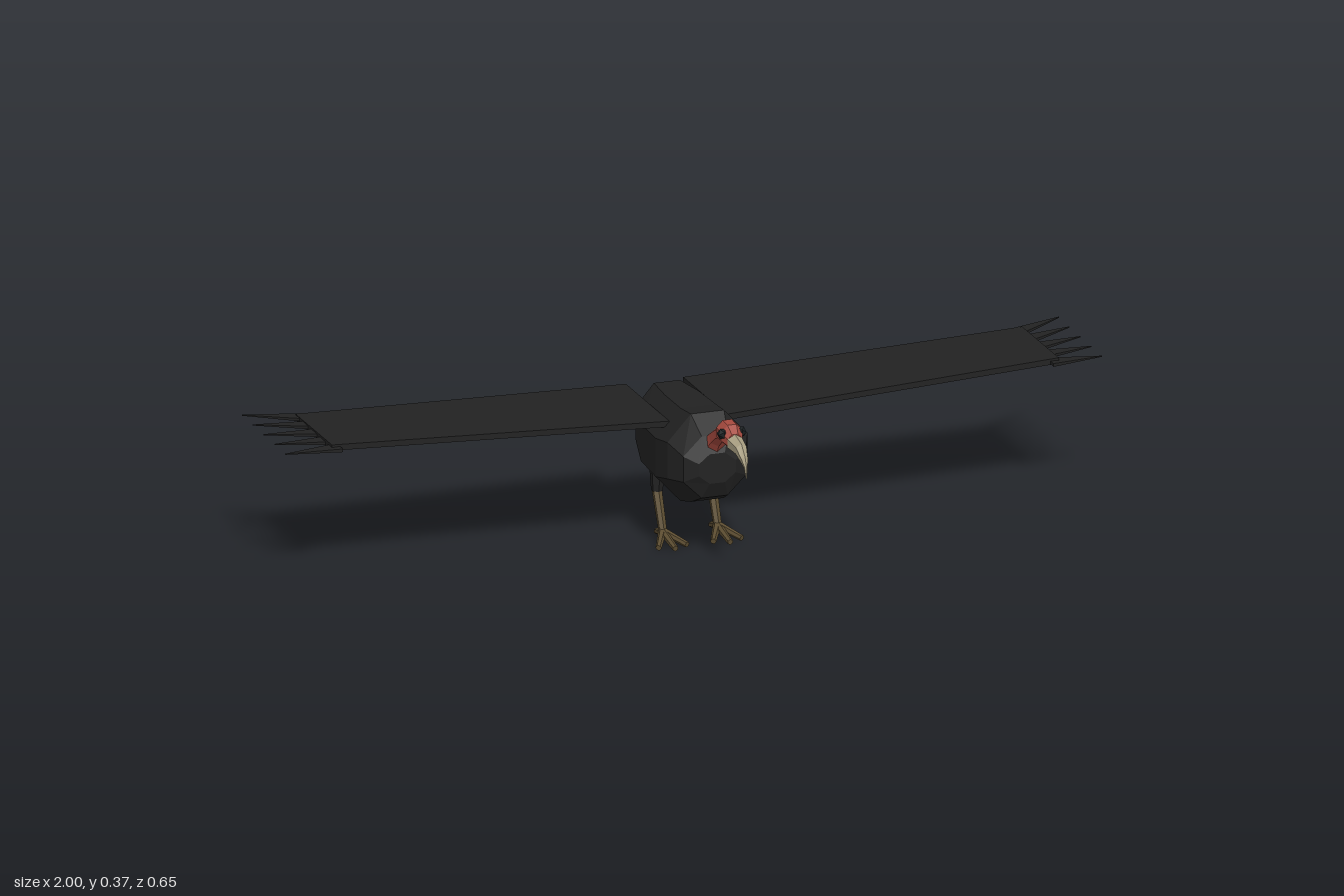
import * as THREE from 'three';

const mat = (name, color, flat = true) => {
  const m = new THREE.MeshStandardMaterial({ color, flatShading: flat });
  m.name = name;
  return m;
};
const lerp = THREE.MathUtils.lerp;

// Skin over elliptical rings, listed front to back: [z, y, halfWidth, halfHeight, lean]
function loft(rings, sides) {
  const pts = rings.map(([z, y, w, h, lean = 0]) => {
    const k = 1 / Math.cos(Math.PI / sides);
    return Array.from({ length: sides }, (_, j) => {
      const a = ((j + 0.5) / sides) * Math.PI * 2;
      const up = Math.sin(a) * h * k;
      return [Math.cos(a) * w * k, y + up * Math.cos(lean), z + up * Math.sin(lean)];
    });
  });
  const pos = [];
  const tri = (...p) => p.forEach((q) => pos.push(...q));
  const last = pts.length - 1;
  for (let j = 0; j < sides; j++) {
    const n = (j + 1) % sides;
    for (let i = 0; i < last; i++) {
      tri(pts[i][j], pts[i + 1][j], pts[i][n]);
      tri(pts[i][n], pts[i + 1][j], pts[i + 1][n]);
    }
    tri([0, rings[0][1], rings[0][0]], pts[0][j], pts[0][n]);
    tri([0, rings[last][1], rings[last][0]], pts[last][n], pts[last][j]);
  }
  const g = new THREE.BufferGeometry();
  g.setAttribute('position', new THREE.Float32BufferAttribute(pos, 3));
  g.computeVertexNormals();
  return g;
}

// Box whose corners are moved by a rule
function slab(rule) {
  const g = new THREE.BoxGeometry(1, 1, 1);
  const p = g.attributes.position;
  for (let i = 0; i < p.count; i++) p.setXYZ(i, ...rule(p.getX(i), p.getY(i), p.getZ(i)));
  g.computeVertexNormals();
  return g;
}

// Tapered six-sided rod between two points
function rod(from, to, r0, r1) {
  const a = new THREE.Vector3(...from), b = new THREE.Vector3(...to);
  const d = b.clone().sub(a);
  const g = new THREE.CylinderGeometry(r1, r0, d.length(), 6);
  g.applyQuaternion(new THREE.Quaternion().setFromUnitVectors(new THREE.Vector3(0, 1, 0), d.normalize()));
  return g.translate(...a.add(b).multiplyScalar(0.5).toArray());
}

export function createModel() {
  const model = new THREE.Group();
  model.name = 'vulture';
  const plumage = mat('black plumage', 0x222222);
  const skin = mat('red skin', 0xa5493e);
  const horn = mat('horn', 0xaaa083);
  const scale = mat('brown leg', 0x5c4d31);
  const eyeBlack = mat('eye black', 0x1b2022);
  const add = (name, geometry, material, parent = model) => {
    const m = new THREE.Mesh(geometry, material);
    m.name = name;
    parent.add(m);
    return m;
  };

  // Body
  add('body', loft([
    [0.13, 0.23, 0.045, 0.036],
    [0.112, 0.23, 0.077, 0.075],
    [0.063, 0.238, 0.098, 0.107],
    [0, 0.226, 0.104, 0.113],
    [-0.11, 0.226, 0.1, 0.109],
    [-0.21, 0.238, 0.077, 0.092],
    [-0.24, 0.25, 0.06, 0.055],
  ], 8), plumage);

  // Neck and head
  add('neck', loft([
    [0.19, 0.337, 0.016, 0.016, -0.4],
    [0.155, 0.322, 0.016, 0.016, -0.5],
    [0.127, 0.303, 0.018, 0.018, -0.65],
    [0.1, 0.275, 0.024, 0.024, -0.75],
  ], 6), skin);
  add('head', loft([
    [0.248, 0.333, 0.018, 0.018],
    [0.228, 0.342, 0.026, 0.026],
    [0.196, 0.343, 0.027, 0.027],
    [0.18, 0.335, 0.018, 0.018],
  ], 8), skin);

  // Hooked beak
  add('beak', loft([
    [0.325, 0.268, 0.001, 0.001, 1.4],
    [0.32, 0.295, 0.004, 0.005, 1.0],
    [0.31, 0.309, 0.008, 0.009, 0.7],
    [0.288, 0.326, 0.013, 0.014, 0.25],
    [0.245, 0.331, 0.018, 0.018],
  ], 6), horn);

  for (const s of [1, -1]) {
    const side = s > 0 ? 'left' : 'right';

    // Eye
    const eye = add(side + 'Eye', new THREE.IcosahedronGeometry(0.014, 0), eyeBlack);
    eye.position.set(s * 0.022, 0.348, 0.226);

    // Wing with splayed tip feathers
    const wing = new THREE.Group();
    wing.name = side + 'Wing';
    model.add(wing);
    add('wingPanel', slab((x, y, z) => {
      const t = s * x + 0.5;
      return [
        s * lerp(0.07, 0.89, t),
        lerp(0.301, 0.335, t) + y * 0.014 + z * 0.005,
        z > 0 ? lerp(0.0, -0.018, t) : lerp(-0.292, -0.264, t),
      ];
    }), plumage, wing);
    for (let i = 0; i < 5; i++) {
      const base = lerp(-0.242, -0.02, i / 4);
      const tip = lerp(-0.32, -0.03, i / 4);
      add('tipFeather', slab((x, y, z) => {
        const t = s * x + 0.5;
        return [
          s * lerp(0.87, 1.0, t),
          lerp(0.335, 0.331, t) + y * lerp(0.008, 0.002, t),
          lerp(base, tip, t) + z * lerp(0.044, 0.002, t),
        ];
      }), plumage, wing);
    }

    // Leg with three front toes and one hind toe
    const leg = new THREE.Group();
    leg.name = side + 'Leg';
    model.add(leg);
    const lx = s * 0.067;
    add('thigh', rod([lx, 0.17, -0.092], [lx, 0.112, -0.092], 0.018, 0.014), plumage, leg);
    add('shin', rod([lx, 0.118, -0.095], [lx, 0.022, -0.052], 0.012, 0.01), scale, leg);
    for (const spread of [-0.035, 0, 0.035]) {
      const reach = spread ? 0.015 : 0.033;
      add('frontToe', rod([lx, 0.024, -0.055], [lx + spread, 0.01, reach], 0.01, 0.007), scale, leg);
    }
    add('hindToe', rod([lx, 0.024, -0.052], [lx, 0.011, -0.096], 0.01, 0.007), scale, leg);
  }

  // Tail fan
  const tail = new THREE.Group();
  tail.name = 'tail';
  model.add(tail);
  for (let i = -3; i <= 3; i++) {
    add('tailFeather', slab((x, y, z) => {
      const t = 0.5 - z;
      return [
        lerp(i * 0.008, i * 0.03, t) + x * lerp(0.016, 0.022, t),
        lerp(0.233, 0.22, t) + y * 0.008 + i * 0.0003,
        lerp(-0.2, -0.318 + Math.abs(i) * 0.003, t) + x * i * 0.003,
      ];
    }), plumage, tail);
  }
  return model;
}
